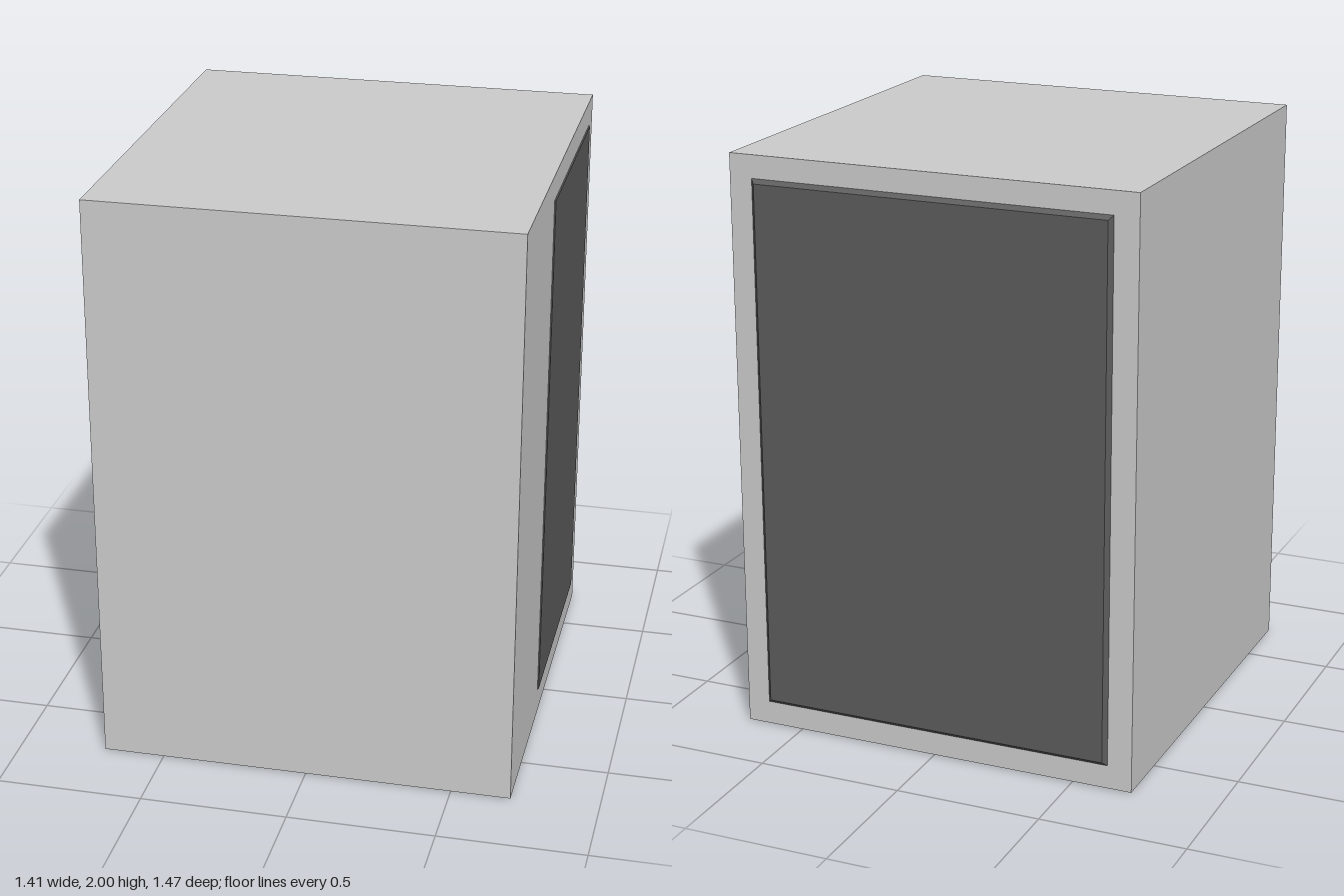
import * as THREE from 'three';

const bodyMaterial = new THREE.MeshStandardMaterial({ color: 0xcccccc });
const panelMaterial = new THREE.MeshStandardMaterial({ color: 0x5c5c5c });

// Thin plate whose outer face (+z, at z = 0) is smaller than its base by a bevel
function bevelledPlate(name, width, height, depth, bevel) {
  const geometry = new THREE.BoxGeometry(width, height, depth).toNonIndexed();
  geometry.translate(0, 0, -depth / 2);
  const p = geometry.attributes.position;
  for (let i = 0; i < p.count; i++) {
    if (p.getZ(i) > -depth / 2) {
      p.setX(i, p.getX(i) - Math.sign(p.getX(i)) * bevel);
      p.setY(i, p.getY(i) - Math.sign(p.getY(i)) * bevel);
    }
  }
  geometry.computeVertexNormals();
  const mesh = new THREE.Mesh(geometry, panelMaterial);
  mesh.name = name;
  return mesh;
}

export function createModel() {
  const model = new THREE.Group();
  model.name = 'cabinet';

  // Plain cabinet body
  const body = new THREE.Mesh(new THREE.BoxGeometry(1.411, 1.997, 1.452), bodyMaterial);
  body.name = 'body';
  body.position.set(-0.0025, 1.0015, 0.007);
  model.add(body);

  // Large raised panel on the back
  const back = bevelledPlate('backPanel', 1.25, 1.84, 0.016, 0.015);
  back.position.set(0, 1.003, -0.734);
  back.rotation.y = Math.PI;
  model.add(back);

  // Almost flush panel on the left side
  const side = bevelledPlate('sidePanel', 0.81, 1.82, 0.005, 0.004);
  side.position.set(0.707, 1.003, -0.237);
  side.rotation.y = Math.PI / 2;
  model.add(side);

  // Almost flush panel underneath
  const bottom = bevelledPlate('bottomPanel', 1.22, 0.81, 0.004, 0.003);
  bottom.position.set(0, 0, -0.24);
  bottom.rotation.x = Math.PI / 2;
  model.add(bottom);

  return model;
}
